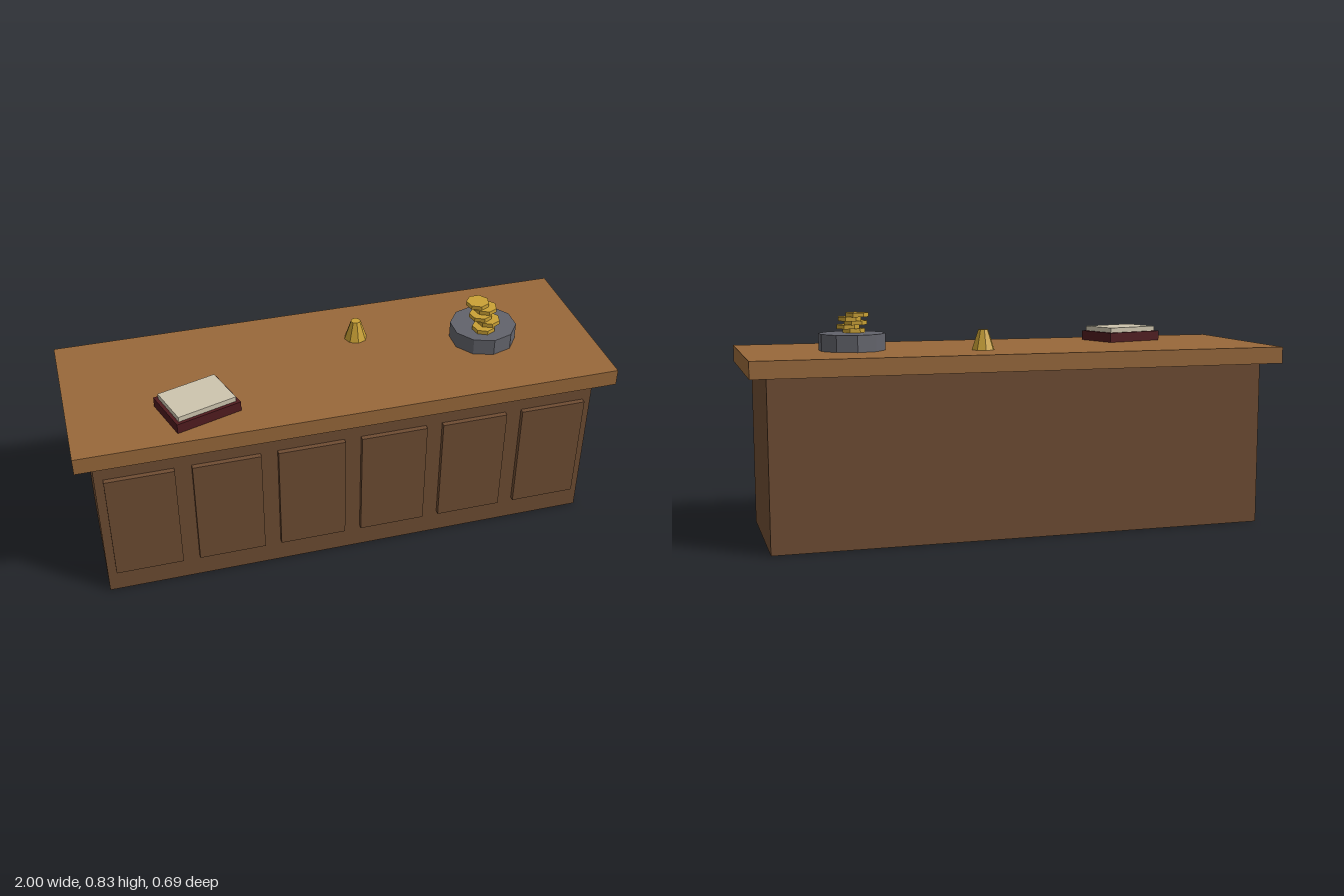
import * as THREE from 'three';

const mat = (name, color) => {
  const m = new THREE.MeshStandardMaterial({ color, flatShading: true });
  m.name = name;
  return m;
};

export function createModel() {
  const darkWood = mat('dark wood', 0x6e4c32);
  const lightWood = mat('light wood', 0x98683a);
  const stone = mat('grey metal', 0x62636b);
  const gold = mat('gold', 0xcaa135);
  const leather = mat('red leather', 0x4f1a1e);
  const paper = mat('paper', 0xcdc4ae);

  const root = new THREE.Group();
  root.name = 'counter';

  const add = (parent, name, geometry, material, x, y, z) => {
    const mesh = new THREE.Mesh(geometry, material);
    mesh.name = name;
    mesh.position.set(x, y, z);
    parent.add(mesh);
    return mesh;
  };
  const box = (...size) => new THREE.BoxGeometry(...size);
  const group = (name, x, y, z) => {
    const g = new THREE.Group();
    g.name = name;
    g.position.set(x, y, z);
    root.add(g);
    return g;
  };

  // Counter body and overhanging top
  const topY = 0.6885;
  add(root, 'body', box(1.876, 0.626, 0.5625), darkWood, 0, 0.313, 0);
  add(root, 'counterTop', box(2, 0.0625, 0.688), lightWood, 0, topY - 0.03125, 0);

  // Six raised panels along the front
  for (let i = 0; i < 6; i++) {
    add(root, 'frontPanel', box(0.25, 0.435, 0.04), darkWood, (i - 2.5) * 0.3125, 0.3135, 0.28);
  }

  // Closed ledger, turned slightly
  const book = group('book', -0.54, topY, 0.166);
  book.rotation.y = 0.3;
  add(book, 'bookCover', box(0.25, 0.0375, 0.1875), leather, 0, 0.01875, 0);
  add(book, 'bookPages', box(0.225, 0.019, 0.1625), paper, 0, 0.047, 0);

  // Small hand bell
  add(root, 'bell', new THREE.CylinderGeometry(0.0187, 0.0437, 0.075, 8), gold, 0.125, topY + 0.0375, -0.125);

  // Dish with a leaning stack of coins
  const dish = group('coinDish', 0.594, topY, 0);
  add(dish, 'dish', new THREE.CylinderGeometry(0.125, 0.125, 0.0625, 10), stone, 0, 0.03125, 0);
  const coin = new THREE.CylinderGeometry(0.0437, 0.0437, 0.0156, 7);
  for (let i = 0; i < 5; i++) {
    add(dish, 'coin', coin, gold, i % 2 ? 0.0125 : -0.0125, 0.0703 + i * 0.0156, (2 - i) * 0.01875);
  }

  return root;
}
